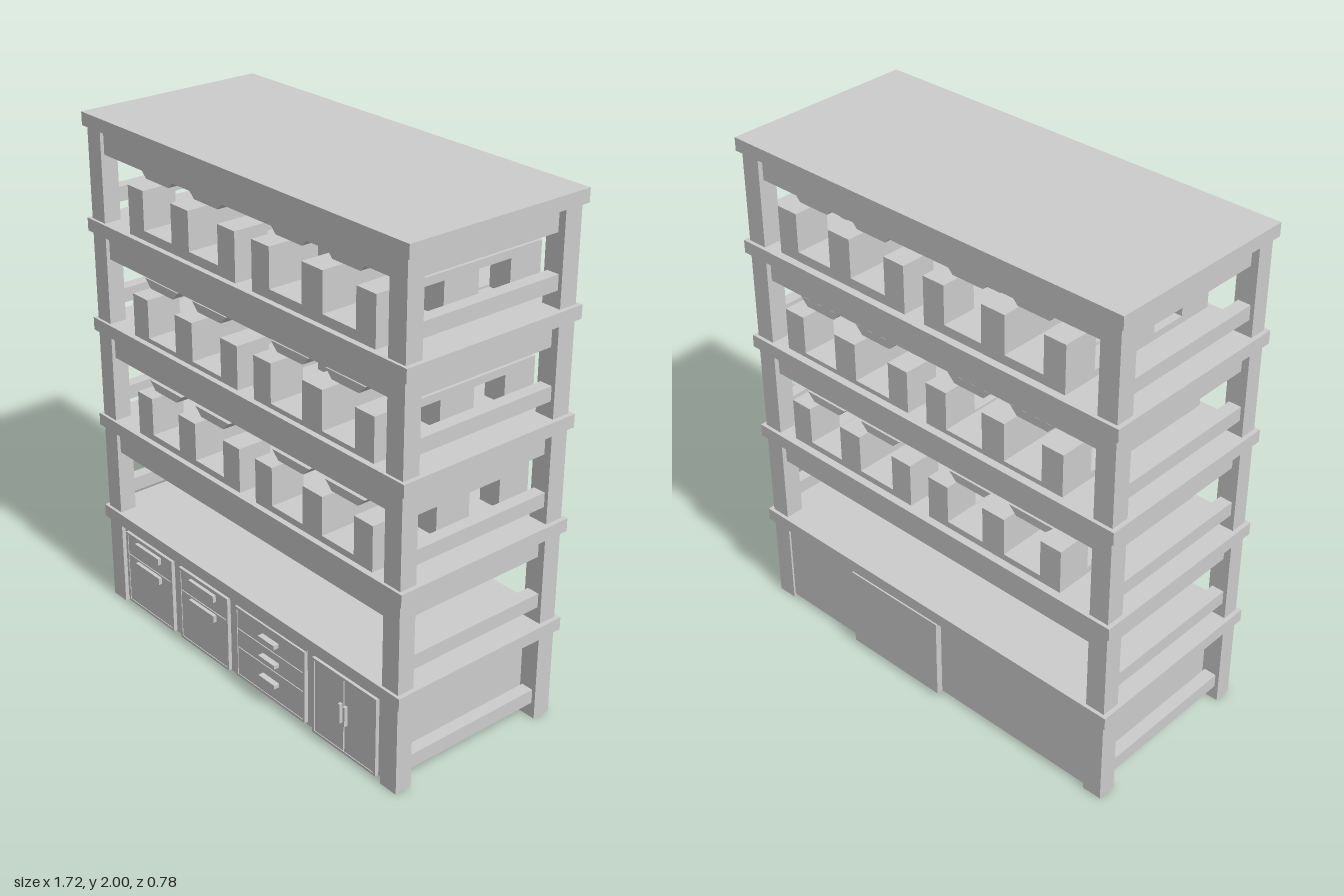
import * as THREE from 'three';

const grey = new THREE.MeshStandardMaterial({ color: 0xcccccc });
grey.name = 'plain grey';

// Box given by its limits on each axis
function box(parent, name, x0, x1, y0, y1, z0, z1) {
  const mesh = new THREE.Mesh(new THREE.BoxGeometry(x1 - x0, y1 - y0, z1 - z0), grey);
  mesh.position.set((x0 + x1) / 2, (y0 + y1) / 2, (z0 + z1) / 2);
  mesh.name = name;
  parent.add(mesh);
  return mesh;
}

function group(parent, name) {
  const g = new THREE.Group();
  g.name = name;
  parent.add(g);
  return g;
}

// Outer rack wall with two rectangular windows, in the z-y plane
function windowWall(parent, x0, x1, y0, y1, depth) {
  const rect = (Path, a, b, c, d) => {
    const p = new Path();
    p.moveTo(a, c); p.lineTo(b, c); p.lineTo(b, d); p.lineTo(a, d); p.closePath();
    return p;
  };
  const shape = rect(THREE.Shape, -depth, depth, y0, y1);
  for (const s of [-0.148, 0.148]) {
    shape.holes.push(rect(THREE.Path, s - 0.072, s + 0.072, y0 + 0.027, y1 - 0.03));
  }
  const geo = new THREE.ExtrudeGeometry(shape, { depth: x1 - x0, bevelEnabled: false });
  geo.rotateY(Math.PI / 2);
  const mesh = new THREE.Mesh(geo, grey);
  mesh.position.x = x0;
  mesh.name = 'rackSideWall';
  parent.add(mesh);
}

// Double trough rack standing on a shelf
function rack(parent, walls, y, top) {
  const g = group(parent, 'storageRack');
  const d = 0.36;
  box(g, 'rackFloor', walls[0][1], walls[2][0], y, top - 0.148, -d, d);
  box(g, 'rackMiddleWall', ...walls[1], y, top, -d, d);
  windowWall(g, ...walls[0], y, top, d);
  windowWall(g, ...walls[2], y, top, d);
}

// Shallow tray with sides that taper downwards
function tray(parent, x, y) {
  const s = new THREE.Shape([
    [-0.066, 0], [0.066, 0], [0.098, 0.032], [-0.098, 0.032],
  ].map(([a, b]) => new THREE.Vector2(a, b)));
  const geo = new THREE.ExtrudeGeometry(s, { depth: 0.68, bevelEnabled: false });
  const mesh = new THREE.Mesh(geo, grey);
  mesh.position.set(x, y, -0.34);
  mesh.name = 'hangingTray';
  parent.add(mesh);
}

export function createModel() {
  const model = new THREE.Group();
  model.name = 'storageShelf';
  const tops = [0.405, 0.807, 1.207, 1.602, 2.0];

  // Corner posts
  for (const [x0, x1] of [[-0.843, -0.764], [0.764, 0.843]]) {
    box(model, 'cornerPost', x0, x1, 0, 1.96, 0.302, 0.371);
    box(model, 'cornerPost', x0, x1, 0, 1.96, -0.376, -0.302);
  }

  // Shelf boards, aprons and side rails
  tops.forEach((y, i) => {
    box(model, 'shelfBoard', -0.86, 0.86, y - 0.05, y, -0.39, 0.382);
    if (i > 0) {
      for (const s of [-1, 1]) {
        box(model, 'longApron', -0.765, 0.765, y - 0.141, y - 0.049, s * 0.335 - 0.022, s * 0.335 + 0.022);
        box(model, 'sideApron', s * 0.79 - 0.025, s * 0.79 + 0.025, y - 0.141, y - 0.049, -0.303, 0.303);
      }
    }
  });
  for (const y of [0, ...tops.slice(0, 4)]) {
    for (const s of [-1, 1]) {
      box(model, 'sideRail', s * 0.803 - 0.025, s * 0.803 + 0.025, y + 0.062, y + 0.118, -0.303, 0.303);
    }
  }

  // Racks and trays on the three upper shelves
  const levels = [[tops[1], 0.98, 1.007], [tops[2], 1.373, 1.413], [tops[3], 1.786, 1.826]];
  for (const [y, rackTop, trayY] of levels) {
    rack(model, [[-0.62, -0.53], [-0.365, -0.265], [-0.1, -0.007]], y, rackTop);
    rack(model, [[0.083, 0.175], [0.34, 0.442], [0.603, 0.695]], y, rackTop);
    for (const x of [-0.468, -0.188, 0.252, 0.532]) tray(model, x, trayY);
  }

  // Base cabinet
  const cabinet = group(model, 'baseCabinet');
  const front = 0.355;
  box(cabinet, 'cabinetBody', -0.768, 0.768, 0.012, 0.36, -0.368, front);
  box(cabinet, 'topStrip', -0.06, 0.38, 0.342, 0.358, 0.34, 0.377);
  box(cabinet, 'backPanel', -0.06, 0.385, 0.013, 0.352, -0.394, -0.36);

  const frame = (g, x0, x1, y0, y1) => {
    const t = 0.01, z1 = front + 0.015;
    box(g, 'frameSide', x0, x0 + t, y0, y1, front - 0.01, z1);
    box(g, 'frameSide', x1 - t, x1, y0, y1, front - 0.01, z1);
    box(g, 'frameTop', x0, x1, y1 - t, y1, front - 0.01, z1);
    box(g, 'frameBottom', x0, x1, y0, y0 + t, front - 0.01, z1);
  };

  // Two units with a shallow and a deep drawer
  for (const x of [-0.587, -0.238]) {
    const g = group(cabinet, 'fileDrawers');
    frame(g, x - 0.151, x + 0.151, 0.016, 0.33);
    for (const [y0, y1, h] of [[0.026, 0.231, 0.21], [0.235, 0.322, 0.297]]) {
      box(g, 'drawerFront', x - 0.143, x + 0.143, y0, y1, front - 0.01, front + 0.012);
      box(g, 'drawerHandle', x - 0.077, x + 0.077, h - 0.014, h + 0.014, front, 0.381);
    }
  }

  // Unit with three drawers
  const three = group(cabinet, 'threeDrawers');
  frame(three, -0.04, 0.358, 0.024, 0.326);
  for (const [y0, y1, h] of [[0.034, 0.151, 0.107], [0.155, 0.231, 0.193], [0.235, 0.318, 0.277]]) {
    box(three, 'drawerFront', -0.032, 0.35, y0, y1, front - 0.01, front + 0.012);
    box(three, 'drawerHandle', 0.118, 0.21, h - 0.008, h + 0.008, front, 0.39);
  }

  // Double doors with upright handles
  const doors = group(cabinet, 'doubleDoors');
  frame(doors, 0.4, 0.736, 0.012, 0.33);
  for (const s of [-1, 1]) {
    const c = 0.568 + s * 0.08;
    box(doors, 'door', c - 0.077, c + 0.077, 0.02, 0.322, front - 0.01, front + 0.012);
    const h = 0.568 + s * 0.013;
    box(doors, 'doorHandle', h - 0.005, h + 0.005, 0.14, 0.22, front, 0.381);
  }

  return model;
}
